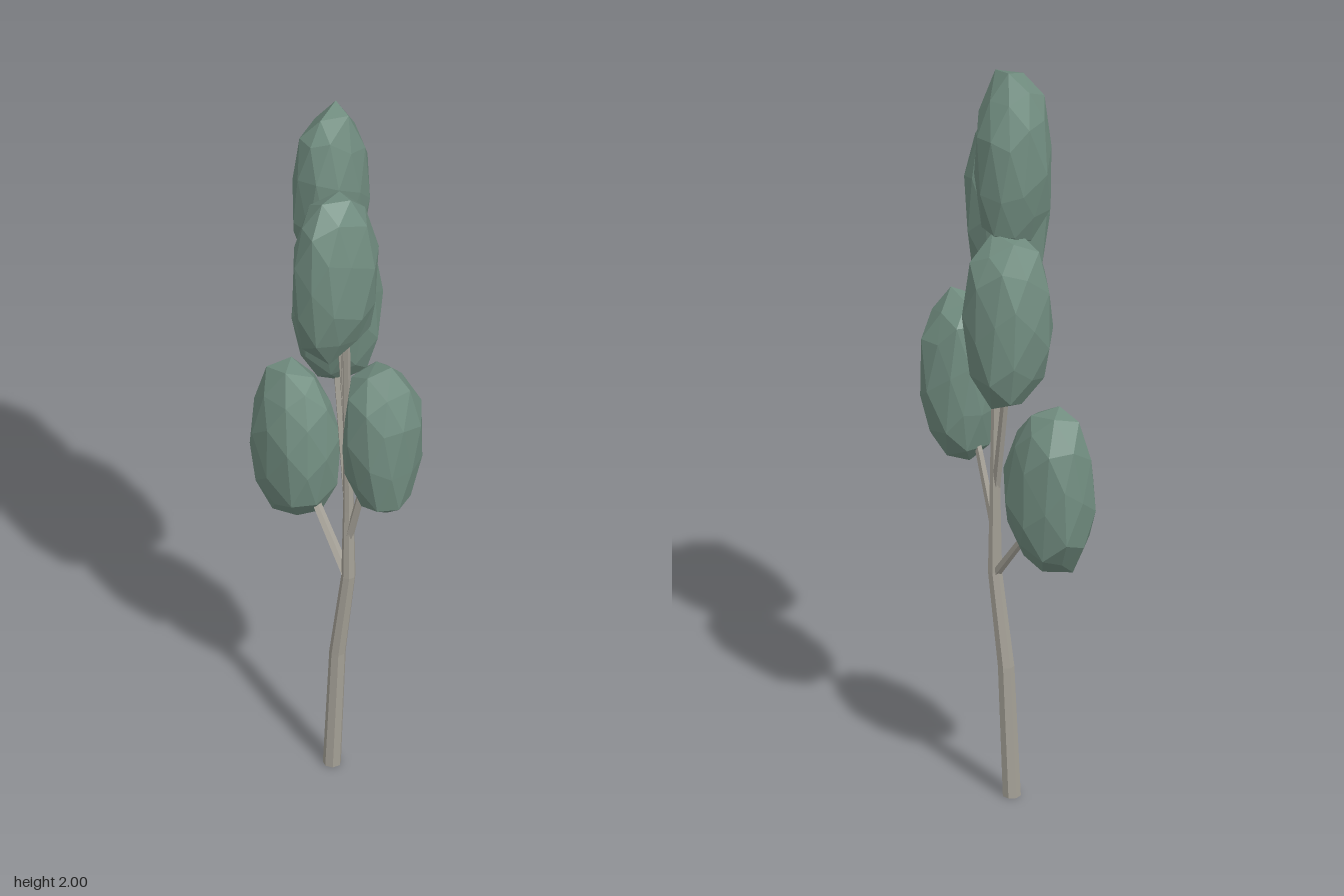
import * as THREE from 'three';
import { mergeVertices } from 'three/addons/utils/BufferGeometryUtils.js';

export function createModel() {
  const tree = new THREE.Group();
  tree.name = 'tree';
  const bark = new THREE.MeshStandardMaterial({ color: 0xa5a197, flatShading: true });
  bark.name = 'grey bark';
  const leaf = new THREE.MeshStandardMaterial({ color: 0x728e81, flatShading: true });
  leaf.name = 'dusty green foliage';

  // Small seeded generator for the irregular facets
  let seed = 11;
  const random = () => {
    seed = (seed * 16807) % 2147483647;
    return seed / 2147483647;
  };

  // Limb: a cylinder whose rings follow path points [x, y, z, radius], bottom to top
  function limb(name, path, sides = 5) {
    const rings = path.length - 1;
    const geo = new THREE.CylinderGeometry(1, 1, 1, sides, rings);
    const p = geo.attributes.position;
    for (let i = 0; i < p.count; i++) {
      const [x, y, z, r] = path[Math.round((p.getY(i) + 0.5) * rings)];
      p.setXYZ(i, x + p.getX(i) * r, y, z + p.getZ(i) * r);
    }
    geo.computeVertexNormals();
    const mesh = new THREE.Mesh(geo, bark);
    mesh.name = name;
    tree.add(mesh);
  }

  // Leaf clump: a jittered, slightly squared icosphere fitted to the box between two corners
  const square = (t) => Math.sign(t) * Math.abs(t) ** 0.88;
  function clump(name, min, max) {
    let geo = new THREE.IcosahedronGeometry(1, 1);
    geo.deleteAttribute('normal');
    geo.deleteAttribute('uv');
    geo = mergeVertices(geo, 1e-3);
    geo.rotateY(random() * 6.28);
    geo.rotateX(random() * 0.6);
    const p = geo.attributes.position;
    const v = new THREE.Vector3();
    for (let i = 0; i < p.count; i++) {
      v.fromBufferAttribute(p, i).multiplyScalar(0.92 + random() * 0.16);
      p.setXYZ(i, square(v.x), square(v.y), square(v.z));
    }
    geo.computeBoundingBox();
    const box = geo.boundingBox;
    const size = box.getSize(new THREE.Vector3());
    const lo = new THREE.Vector3(...min);
    const span = new THREE.Vector3(...max).sub(lo);
    for (let i = 0; i < p.count; i++) {
      v.fromBufferAttribute(p, i).sub(box.min).divide(size).multiply(span).add(lo);
      p.setXYZ(i, v.x, v.y, v.z);
    }
    geo.computeVertexNormals();
    const mesh = new THREE.Mesh(geo, leaf);
    mesh.name = name;
    tree.add(mesh);
  }

  // Trunk and branches
  limb('trunk', [
    [0.005, 0, -0.001, 0.023], [0.021, 0.35, -0.005, 0.021], [0.054, 0.6, -0.011, 0.018],
    [0.053, 0.8, -0.012, 0.014], [0.052, 1.1, -0.01, 0.011],
  ], 7);
  limb('lowerRightBranch', [[0.05, 0.595, -0.01, 0.014], [-0.08, 0.76, -0.02, 0.012], [-0.14, 0.85, -0.02, 0.008]]);
  limb('lowerLeftBranch', [[0.057, 0.72, -0.01, 0.011], [0.11, 0.91, -0.01, 0.01], [0.16, 1.05, -0.01, 0.007]]);
  limb('middleBranch', [[0.05, 0.83, -0.01, 0.011], [-0.02, 1.13, -0.045, 0.01], [-0.05, 1.3, -0.07, 0.007]]);
  limb('frontBranch', [[0.053, 0.98, -0.008, 0.011], [0.078, 1.36, 0.02, 0.01], [0.09, 1.55, 0.06, 0.007]]);
  limb('topBranch', [[0.052, 1.05, -0.008, 0.011], [0.02, 1.4, -0.01, 0.01], [-0.01, 1.7, -0.02, 0.007]]);
  limb('leader', [[0.052, 1.05, -0.008, 0.011], [0.05, 1.5, 0.01, 0.008]]);

  // Foliage
  clump('lowerRightFoliage', [-0.27, 0.675, -0.12], [-0.04, 1.115, 0.07]);
  clump('lowerLeftFoliage', [0.08, 0.87, -0.11], [0.27, 1.325, 0.09]);
  clump('middleFoliage', [-0.16, 1.12, -0.185], [0.04, 1.575, 0.03]);
  clump('frontFoliage', [0, 1.345, -0.05], [0.18, 1.825, 0.185]);
  clump('topFoliage', [-0.11, 1.51, -0.12], [0.065, 2, 0.08]);
  return tree;
}
